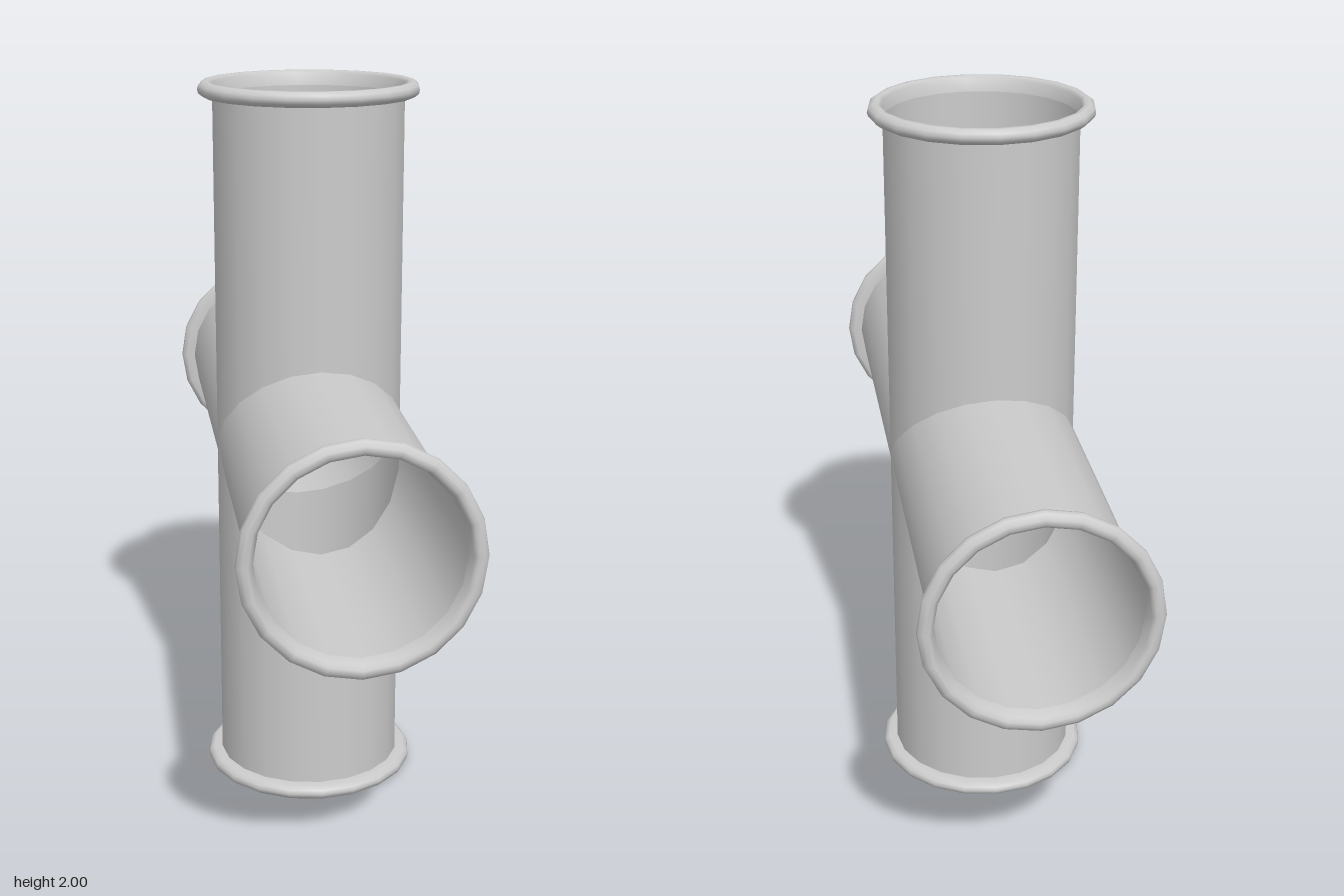
import * as THREE from 'three';

const RADIUS = 0.26;
const SIDES = 20;

// Open tube along +y whose lower edge is mitred to meet its neighbours
function armTube(length) {
  const geo = new THREE.CylinderGeometry(RADIUS, RADIUS, length, SIDES, 1, true);
  const p = geo.attributes.position;
  for (let i = 0; i < p.count; i++) {
    p.setY(i, p.getY(i) > 0 ? length : Math.abs(p.getZ(i)));
  }
  return geo; // radial normals stay valid
}

// Rounded bead around the open end
function rimBead(length) {
  const profile = [
    [0.255, -0.04], [0.285, -0.04], [0.297, -0.031], [0.3, -0.02],
    [0.297, -0.009], [0.285, 0], [0.272, 0], [0.262, -0.008], [0.255, -0.04],
  ].map(([r, y]) => new THREE.Vector2(r, length + y));
  return new THREE.LatheGeometry(profile, SIDES);
}

export function createModel() {
  const material = new THREE.MeshStandardMaterial({ color: 0xcccccc, side: THREE.DoubleSide });
  const model = new THREE.Group();
  model.name = 'crossPipeFitting';

  // Four arms turned around the x axis
  const arms = [['topArm', 1], ['frontArm', 0.99], ['bottomArm', 1], ['backArm', 0.99]];
  arms.forEach(([name, length], i) => {
    const arm = new THREE.Group();
    arm.name = name;
    const tube = new THREE.Mesh(armTube(length - 0.02), material);
    tube.name = 'tube';
    const rim = new THREE.Mesh(rimBead(length), material);
    rim.name = 'rim';
    arm.add(tube, rim);
    arm.position.y = 1;
    arm.rotation.x = (i * Math.PI) / 2;
    model.add(arm);
  });
  return model;
}
